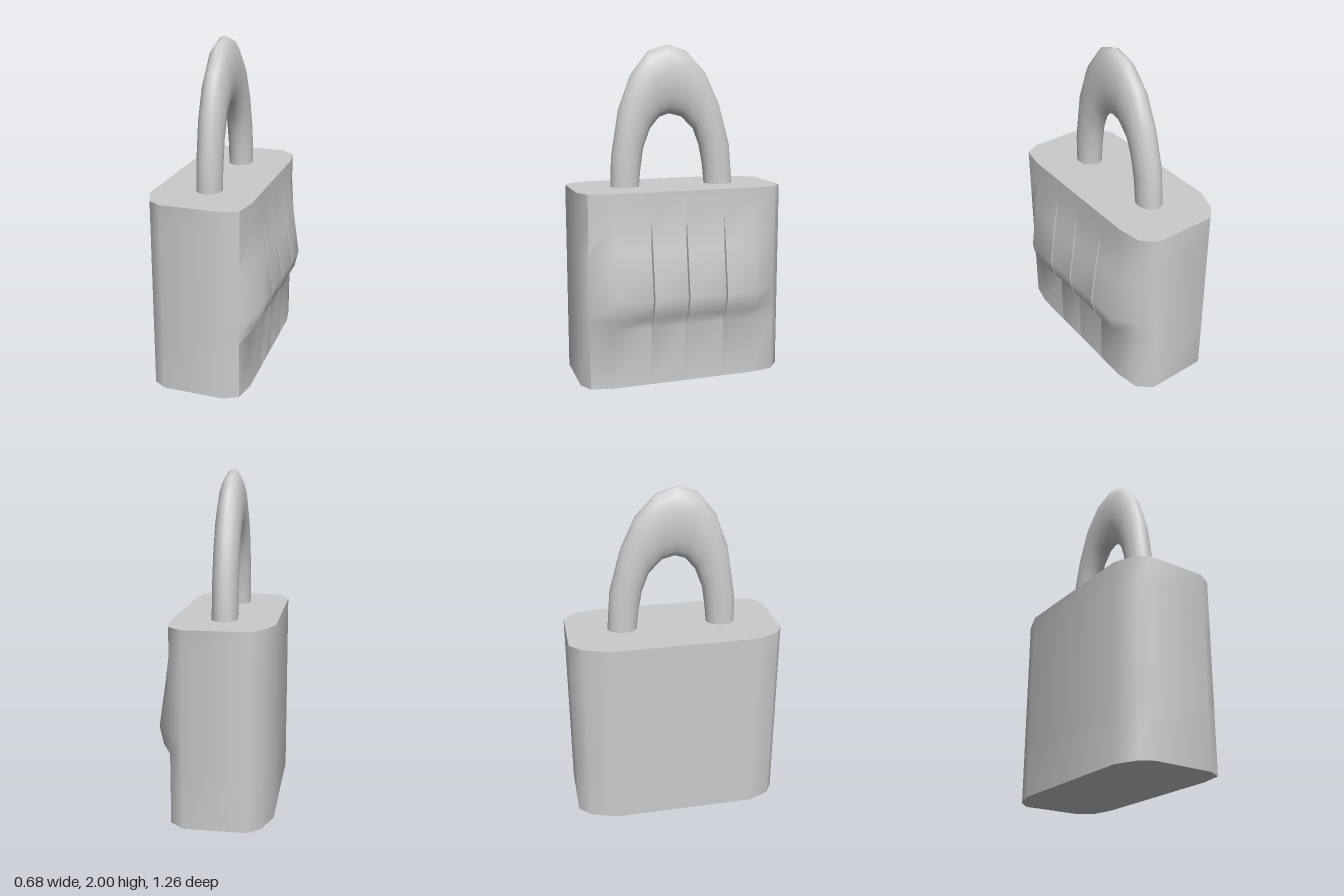
import * as THREE from 'three';
import { toCreasedNormals } from 'three/addons/utils/BufferGeometryUtils.js';

// Skins closed rings of [x, y, z] points; rings run counterclockwise about the direction of travel.
function loft(rings) {
  const n = rings[0].length, index = [], last = (rings.length - 1) * n;
  for (let r = 0; r < rings.length - 1; r++) {
    for (let i = 0; i < n; i++) {
      const a = r * n + i, b = r * n + (i + 1) % n;
      index.push(a, b, b + n, a, b + n, a + n);
    }
  }
  for (let i = 1; i < n - 1; i++) {
    index.push(0, i + 1, i, last, last + i, last + i + 1);
  }
  const g = new THREE.BufferGeometry();
  g.setAttribute('position', new THREE.Float32BufferAttribute(rings.flat(2), 3));
  g.setIndex(index);
  return g;
}

export function createModel() {
  const lock = new THREE.Group();
  lock.name = 'padlock';
  const grey = new THREE.MeshStandardMaterial({ color: 0xcccccc });
  const add = (name, geometry) => {
    const mesh = new THREE.Mesh(geometry, grey);
    mesh.name = name;
    lock.add(mesh);
  };

  // Body: chamfered block whose +x face swells into the dial housing
  const frontCorner = [[-0.34, 0.455], [-0.285, 0.585], [-0.21, 0.63], [0.155, 0.63], [0.24, 0.585]];
  const backCorner = [[0.24, -0.565], [0.155, -0.635], [-0.215, -0.635], [-0.285, -0.565], [-0.34, -0.415]];
  const faceX = 0.265;
  const grooves = [0.222, 0.008, -0.229];
  // Height and reach of the +x face
  const levels = [[0, 0.268], [0.35, 0.265], [0.42, 0.31], [0.53, 0.335], [0.81, 0.293], [0.99, 0.265], [1.155, 0.265]];
  const bodyRings = levels.map(([y, x]) => {
    const face = [[x, 0.45]];
    for (const z of grooves) {
      // Narrow V-shaped gap between neighbouring dials
      face.push([x, z + 0.005], [Math.min(x, faceX), z], [x, z - 0.005]);
    }
    face.push([x, -0.415]);
    return [...frontCorner, ...face, ...backCorner].map(([px, pz]) => [px, y, pz]);
  });
  add('body', toCreasedNormals(loft(bodyRings), 0.85));

  // Shackle: oval sections spanning the outer and inner arch, [outer z, outer y, inner z, inner y]
  const arch = [
    [0.387, 1.1, 0.212, 1.1], [0.387, 1.155, 0.212, 1.155], [0.382, 1.33, 0.202, 1.26],
    [0.335, 1.62, 0.185, 1.38], [0.26, 1.82, 0.14, 1.5], [0.15, 1.96, 0.08, 1.57],
    [0.03, 2.0, 0.02, 1.59], [-0.09, 1.965, -0.06, 1.57], [-0.21, 1.84, -0.14, 1.49],
    [-0.3, 1.65, -0.18, 1.38], [-0.37, 1.4, -0.2, 1.27], [-0.39, 1.155, -0.212, 1.155],
    [-0.39, 1.1, -0.212, 1.1],
  ];
  const sides = 18;
  const shackleRings = arch.map(([oz, oy, iz, iy]) =>
    Array.from({ length: sides }, (_, i) => {
      const t = (i / sides) * Math.PI * 2, c = Math.cos(t) / 2;
      return [-0.034 + 0.076 * Math.sin(t), (oy + iy) / 2 + c * (oy - iy), (oz + iz) / 2 + c * (oz - iz)];
    }));
  add('shackle', toCreasedNormals(loft(shackleRings), 1.0));

  return lock;
}
